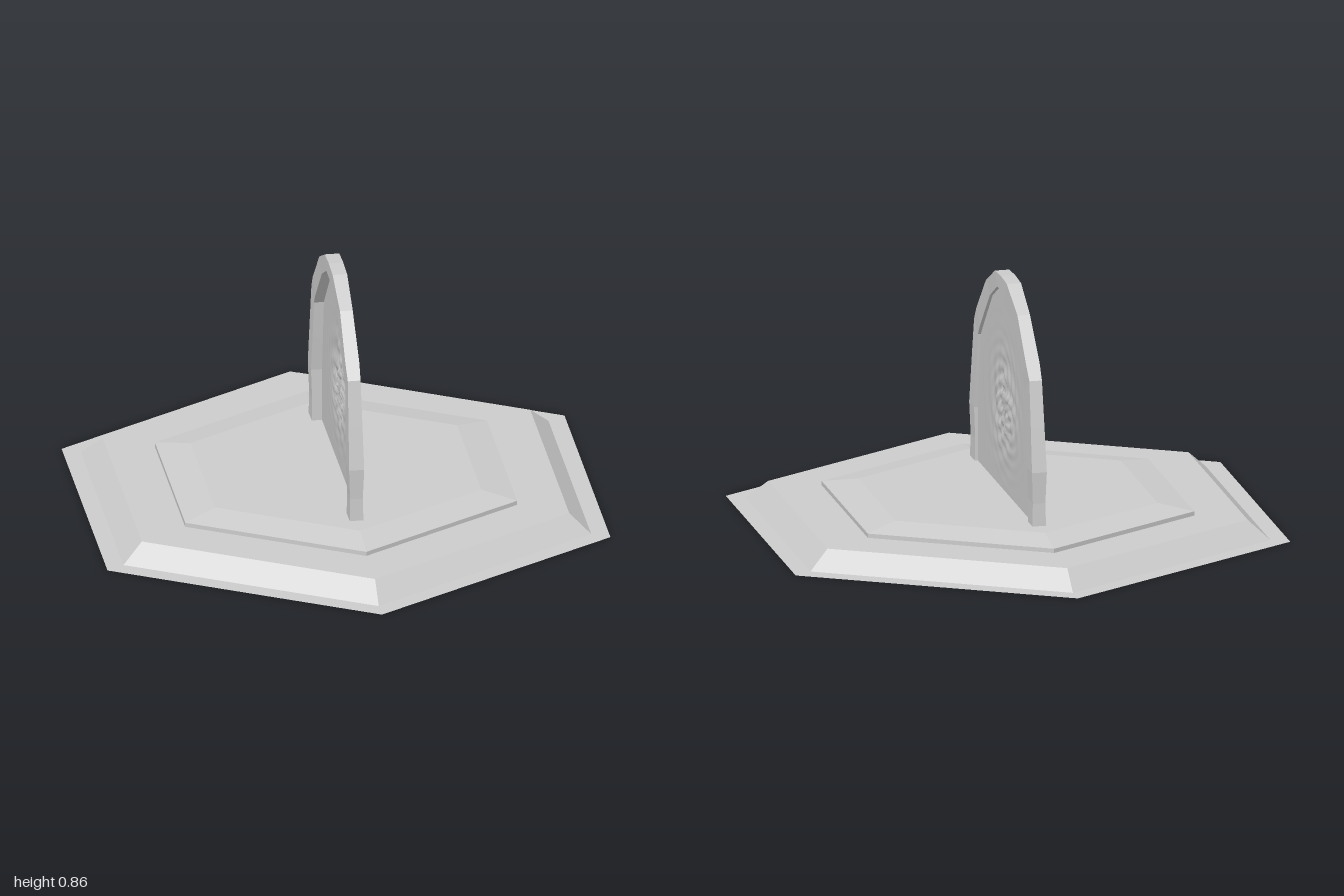
import * as THREE from 'three';

const material = (flatShading) =>
  new THREE.MeshStandardMaterial({ color: 0xcccccc, flatShading, side: THREE.DoubleSide });

// Arch stations on one side: outer z, outer y, inner z, inner y, half thickness
const HALF = [
  [0.45, 0.03, 0.38, 0.03, 0.025],
  [0.445, 0.18, 0.38, 0.18, 0.022],
  [0.45, 0.29, 0.38, 0.29, 0.026],
  [0.425, 0.44, 0.36, 0.42, 0.024],
  [0.396, 0.6, 0.34, 0.56, 0.022],
  [0.355, 0.65, 0.3, 0.605, 0.024],
  [0.225, 0.785, 0.17, 0.745, 0.022],
  [0.085, 0.857, 0.053, 0.81, 0.025],
];

// Sweep a rectangular section along the stations of the arch
function archGeometry() {
  const mirrored = HALF.map(([zo, yo, zi, yi, t]) => [-zo, yo, -zi, yi, t]).reverse();
  const stations = [...HALF, [0, 0.862, 0, 0.81, 0.025], ...mirrored];
  const position = [];
  const index = [];
  for (const [zo, yo, zi, yi, t] of stations) {
    position.push(t, yo, zo, t, yi, zi, -t, yi, zi, -t, yo, zo);
  }
  for (let s = 0; s < stations.length - 1; s++) {
    for (let k = 0; k < 4; k++) {
      const a = s * 4 + k;
      const b = s * 4 + ((k + 1) % 4);
      index.push(a, b, a + 4, b, b + 4, a + 4);
    }
  }
  // Feet caps
  const e = (stations.length - 1) * 4;
  index.push(0, 2, 1, 0, 3, 2, e, e + 1, e + 2, e, e + 2, e + 3);
  const geometry = new THREE.BufferGeometry();
  geometry.setAttribute('position', new THREE.Float32BufferAttribute(position, 3));
  geometry.setIndex(index);
  geometry.computeVertexNormals();
  return geometry;
}

// Half width of the opening at height y
function openingHalfWidth(y) {
  for (let i = 1; i < HALF.length; i++) {
    const [, , z0, y0] = HALF[i - 1];
    const [, , z1, y1] = HALF[i];
    if (y <= y1) return THREE.MathUtils.lerp(z0, z1, Math.max(0, (y - y0) / (y1 - y0)));
  }
  return HALF[HALF.length - 1][2];
}

// Sheet filling the arch, with ripples that fade away from its middle
function panelGeometry() {
  const geometry = new THREE.PlaneGeometry(2, 0.785, 72, 72);
  const p = geometry.attributes.position;
  for (let i = 0; i < p.count; i++) {
    const y = p.getY(i) + 0.4225;
    const z = -p.getX(i) * (openingHalfWidth(y) + 0.008);
    const r = Math.hypot(z, y - 0.4);
    const angle = Math.atan2(y - 0.4, z);
    const fade = Math.exp(-((r / 0.15) ** 2));
    const ripple = Math.cos(r * 95 + 1.5 * Math.sin(angle * 3)) * Math.cos(angle * 7 + r * 30);
    p.setXYZ(i, 0.012 + 0.011 * fade * ripple * Math.min(1, r / 0.03), y, z);
  }
  geometry.computeVertexNormals();
  return geometry;
}

export function createModel() {
  const model = new THREE.Group();
  const add = (name, geometry, flat) => {
    const mesh = new THREE.Mesh(geometry, material(flat));
    mesh.name = name;
    model.add(mesh);
  };

  // Hollow six-sided stepped plinth, open underneath
  const profile = [
    [1, 0], [0.93, 0], [0.85, 0.065], [0.66, 0.065], [0.66, 0.08], [0.53, 0.1], [0, 0.1],
  ].map(([r, y]) => new THREE.Vector2(r, y));
  add('hexagonalBase', new THREE.LatheGeometry(profile, 6), true);

  add('archFrame', archGeometry(), true);
  add('rippledPanel', panelGeometry(), false);

  return model;
}
